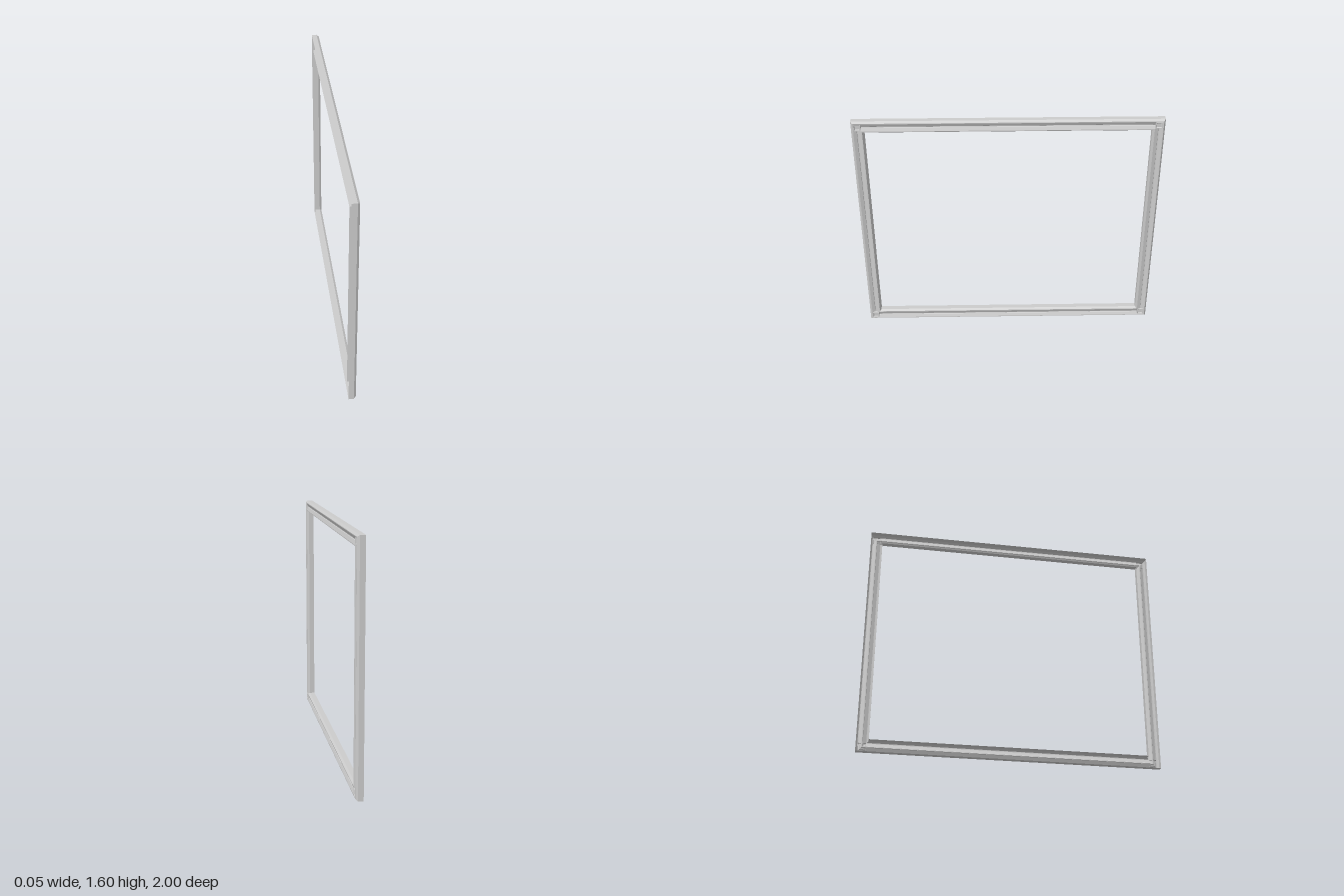
import * as THREE from 'three';

const material = new THREE.MeshStandardMaterial({
  color: 0xcccccc, flatShading: true, side: THREE.DoubleSide,
});
const HALF_Z = 1, HEIGHT = 1.6, WIDTH = 0.08;

// Moulding cross-section: [inset from the outer edge, x]; the back is open
const profile = [
  [0, -0.025], [0, 0.01], [0.011, 0.024], [0.016, 0.024],
  [0.036, 0.015], [0.038, 0.012], [0.042, 0.012], [0.044, 0.015],
  [0.066, 0.024], [0.071, 0.024], [WIDTH, 0.01], [WIDTH, -0.025],
];

// One mitred rail: the profile swept between two neighbouring corners
function rail(name, corner) {
  const at = ([inset, x], c) => {
    const sz = c === 0 || c === 3 ? 1 : -1;
    const y = c < 2 ? inset : HEIGHT - inset;
    return [x, y, sz * (HALF_Z - inset)];
  };
  const next = (corner + 1) % 4, positions = [];
  for (let i = 0; i < profile.length - 1; i++) {
    const a = at(profile[i], corner), b = at(profile[i], next);
    const c = at(profile[i + 1], next), d = at(profile[i + 1], corner);
    positions.push(...a, ...b, ...c, ...a, ...c, ...d);
  }
  const geometry = new THREE.BufferGeometry();
  geometry.setAttribute('position', new THREE.Float32BufferAttribute(positions, 3));
  geometry.computeVertexNormals();
  const mesh = new THREE.Mesh(geometry, material);
  mesh.name = name;
  return mesh;
}

// Square corner boss with a raised rim and a dished centre
function cornerBoss(y, z) {
  const section = [[0, 0.018], [0.014, 0.018], [0.018, 0.025], [0.022, 0.025], [0.025, 0.012]];
  const points = section.map(([r, h]) => new THREE.Vector2(r * Math.SQRT2, h)).reverse();
  const geometry = new THREE.LatheGeometry(points, 4);
  geometry.rotateY(Math.PI / 4).rotateZ(-Math.PI / 2);
  const mesh = new THREE.Mesh(geometry, material);
  mesh.name = 'cornerBoss';
  mesh.position.set(0, y, z);
  return mesh;
}

export function createModel() {
  const model = new THREE.Group();
  model.name = 'pictureFrame';

  // Four rails around the opening
  ['bottomRail', 'backRail', 'topRail', 'frontRail'].forEach((name, i) => model.add(rail(name, i)));

  // Bosses over the mitres
  const inset = WIDTH / 2;
  for (const y of [inset, HEIGHT - inset]) {
    for (const s of [-1, 1]) model.add(cornerBoss(y, s * (HALF_Z - inset)));
  }
  return model;
}
